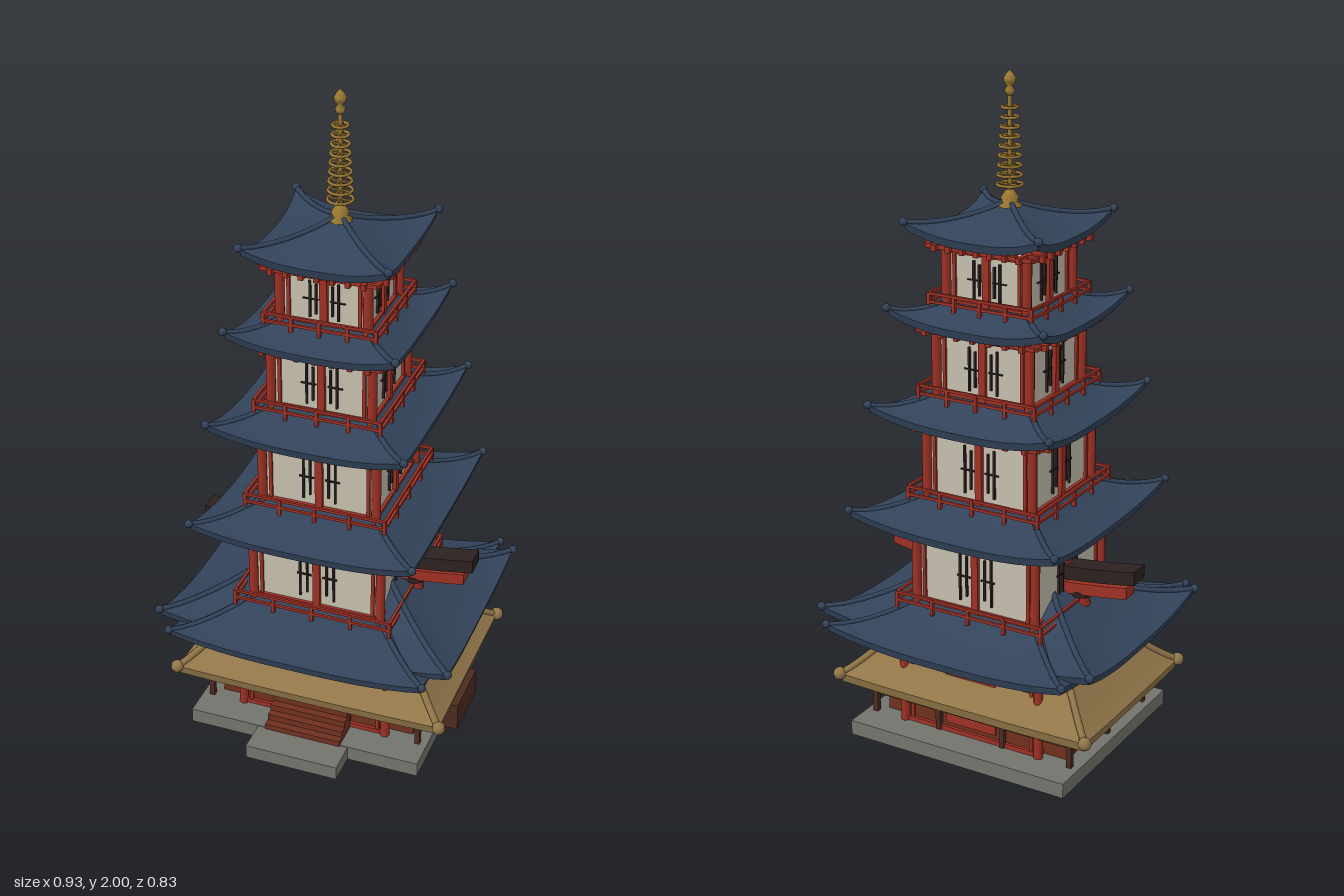
import * as THREE from 'three';

const mat = (name, color, side = THREE.FrontSide) => {
  const m = new THREE.MeshStandardMaterial({ color, side });
  m.name = name;
  return m;
};
const M = {
  tile: mat('slate blue tile', 0x32435a, THREE.DoubleSide),
  red: mat('vermilion wood', 0x9e3024),
  plaster: mat('plaster', 0xc6bfae),
  wood: mat('dark brown wood', 0x4c2b20),
  black: mat('black wood', 0x2c2120),
  stone: mat('stone', 0x74746d),
  gold: mat('gilded bronze', 0x9a7833),
  thatch: mat('thatch', 0x917649, THREE.DoubleSide),
  panel: mat('red brown panel', 0x70301f),
};

function add(parent, name, geo, material, x = 0, y = 0, z = 0) {
  const m = new THREE.Mesh(geo, material);
  m.name = name;
  m.position.set(x, y, z);
  parent.add(m);
  return m;
}
// Box given by its centre in x and z and its bottom and top in y
const box = (p, name, m, w, d, y0, y1, x = 0, z = 0) =>
  add(p, name, new THREE.BoxGeometry(w, y1 - y0, d), m, x, (y0 + y1) / 2, z);
const post = (p, name, m, r, y0, y1, x, z) =>
  add(p, name, new THREE.CylinderGeometry(r, r, y1 - y0, 10), m, x, (y0 + y1) / 2, z);

// Point on one side of a rectangular ring; u runs -1..1 from corner to corner
function ringPoint(r, side, u) {
  const b = r.bow * (1 - u * u);
  const [x, z] = [
    [u * r.hx, r.hz - b], [r.hx - b, -u * r.hz],
    [-u * r.hx, -r.hz + b], [-r.hx + b, u * r.hz],
  ][side];
  return new THREE.Vector3(x, r.y + r.lift * Math.pow(Math.abs(u), 2.6), z);
}

// Four-sided skin through a list of rings
function skin(rings) {
  const n = 16, pos = [], idx = [];
  for (let s = 0; s < 4; s++) {
    const base = pos.length / 3;
    rings.forEach((r) => {
      for (let i = 0; i <= n; i++) pos.push(...ringPoint(r, s, (i / n) * 2 - 1).toArray());
    });
    for (let j = 0; j < rings.length - 1; j++) {
      for (let i = 0; i < n; i++) {
        const a = base + j * (n + 1) + i, c = a + n + 1;
        idx.push(a, a + 1, c + 1, a, c + 1, c);
      }
    }
  }
  const g = new THREE.BufferGeometry();
  g.setAttribute('position', new THREE.Float32BufferAttribute(pos, 3));
  g.setIndex(idx);
  g.computeVertexNormals();
  return g;
}

// Swept hip roof with fascia, soffit, hip ridges and corner knobs
function hipRoof(parent, name, o) {
  const g = new THREE.Group();
  g.name = name;
  parent.add(g);
  const rows = [], N = 8, ye = o.y + o.thick;
  for (let i = 0; i <= N; i++) {
    const t = i / N, k = (1 - t) * (1 - t);
    rows.push({
      hx: o.hx + (o.tx - o.hx) * t, hz: o.hz + (o.tz - o.hz) * t,
      y: ye + (o.top - ye) * Math.pow(t, o.power), lift: o.lift * k, bow: o.bow * k,
    });
  }
  const lower = { ...rows[0], hx: o.hx - 0.006, hz: o.hz - 0.006, y: o.y };
  const inner = { hx: o.ix, hz: o.iz, y: o.y + 0.012, lift: 0, bow: 0 };
  add(g, 'roofSurface', skin(rows), o.mat);
  add(g, 'eaveEdge', skin([lower, rows[0]]), o.mat);
  add(g, 'soffit', skin([inner, lower]), o.mat);
  for (let s = 0; s < 4; s++) {
    const pts = rows.map((r) => ringPoint(r, s, 1));
    add(g, 'hipRidge', new THREE.TubeGeometry(new THREE.CatmullRomCurve3(pts), 16, o.ridge, 6), o.mat);
    add(g, 'cornerKnob', new THREE.SphereGeometry(o.knob, 10, 8), o.mat, ...pts[0].toArray());
  }
}

// One tower storey, with four equal sides
function storey(parent, i, c, y0, y1, rail) {
  const g = new THREE.Group();
  g.name = 'storey' + i;
  parent.add(g);
  const w = c - 0.012, h = y1 - y0, first = i === 1;
  box(g, 'walls', first ? M.panel : M.plaster, 2 * w, 2 * w, y0, y1);
  for (let k = 0; k < 4; k++) {
    const s = new THREE.Group();
    s.name = 'storeySide';
    s.rotation.y = (k * Math.PI) / 2;
    g.add(s);
    post(s, 'cornerColumn', M.red, 0.014, y0 - 0.01, y1 + 0.01, c - 0.005, c - 0.005);
    for (const x of [-c + 0.03, c - 0.03]) box(s, 'sidePost', M.red, 0.01, 0.014, y0, y1, x, w);
    box(s, 'topBeam', M.red, 2 * c, 0.016, y1 - 0.012, y1 + 0.002, 0, w + 0.002);
    box(s, 'bottomBeam', M.red, 2 * c, 0.016, y0, y0 + 0.014, 0, w + 0.002);
    // Rafters under the eaves
    for (let r = -3; r <= 3; r++) {
      box(s, 'rafter', M.red, 0.014, 0.07, y1 + 0.002, y1 + 0.02, (r * c) / 3, c + 0.02);
    }
    box(s, 'rafterBeam', M.red, 2 * c + 0.07, 0.012, y1 + 0.006, y1 + 0.018, 0, c + 0.035);
    if (first) {
      box(s, 'doorPanel', M.red, 0.17, 0.008, y0 + 0.03, y1 - 0.03, 0, w + 0.004);
      continue;
    }
    box(s, 'middleColumn', M.red, 0.022, 0.02, y0, y1, 0, w + 0.002);
    // Window lattices
    for (const m of [-1, 1]) {
      [[0.03, 0.22, 0.78], [0.052, 0.15, 0.84]].forEach(([x, a, b]) =>
        box(s, 'windowBar', M.black, 0.006, 0.008, y0 + a * h, y0 + b * h, m * x * (0.4 + c * 3), w + 0.003));
      box(s, 'windowCrossbar', M.black, 0.045, 0.006, y0 + 0.48 * h, y0 + 0.5 * h, m * 0.04, w + 0.002);
    }
    // Balcony railing
    for (const y of [0.006, 0.03]) box(s, 'rail', M.red, 2 * rail, 0.008, y0 + y, y0 + y + 0.008, 0, rail);
    for (let r = -2; r < 2; r++) box(s, 'railPost', M.red, 0.01, 0.01, y0 - 0.015, y0 + 0.036, (r * rail) / 2, rail);
  }
}

export function createModel() {
  const root = new THREE.Group();
  root.name = 'pagoda';
  const g = new THREE.Group();
  g.name = 'tower';
  g.position.z = -0.008;
  root.add(g);

  // Stone base, front landing and steps
  box(g, 'stoneBase', M.stone, 0.73, 0.65, 0.002, 0.048);
  box(g, 'frontLanding', M.stone, 0.29, 0.12, 0.002, 0.046, 0, 0.363);
  for (let i = 0; i < 4; i++) {
    box(g, 'step', M.panel, 0.24, 0.024, 0.046, 0.064 + i * 0.02, 0, 0.318 - i * 0.023);
  }

  // Low wooden hall around the first storey
  box(g, 'hallWall', M.panel, 0.62, 0.4, 0.045, 0.17);
  box(g, 'hallDeck', M.wood, 0.69, 0.48, 0.112, 0.126);
  for (const x of [-0.335, -0.11, 0.11, 0.335]) {
    for (const z of [-0.23, 0.23]) box(g, 'hallPost', M.wood, 0.016, 0.016, 0.045, 0.165, x, z);
  }
  for (const x of [-0.335, 0.335]) box(g, 'hallPost', M.wood, 0.016, 0.016, 0.045, 0.165, x, 0);
  box(g, 'offeringBox', M.wood, 0.07, 0.19, 0.018, 0.108, 0.383, 0.002);

  // Thatched skirt roof
  hipRoof(g, 'thatchedRoof', {
    hx: 0.42, hz: 0.3, tx: 0.25, tz: 0.13, y: 0.148, top: 0.35, thick: 0.028, lift: 0.006,
    bow: 0.002, power: 1.15, ix: 0.3, iz: 0.19, ridge: 0.011, knob: 0.02, mat: M.thatch,
  });

  // Storeys: column half width, floor, wall top, railing half width
  [[0.235, 0.048, 0.318, 0], [0.205, 0.44, 0.668, 0.243], [0.18, 0.772, 0.985, 0.215],
    [0.157, 1.08, 1.27, 0.19], [0.135, 1.35, 1.512, 0.166]]
    .forEach(([c, a, b, r], i) => storey(g, i + 1, c, a, b, r));

  // Tiled tower roofs: half width, eave bottom, top, top half width
  [[0.395, 0.332, 0.45, 0.19], [0.34, 0.688, 0.785, 0.165], [0.295, 1.005, 1.09, 0.145],
    [0.252, 1.288, 1.362, 0.122], [0.215, 1.532, 1.63, 0.012]]
    .forEach(([h, y, top, t], i) => hipRoof(g, 'tiledRoof' + (i + 1), {
      hx: h, hz: h, tx: t, tz: t, y, top, thick: 0.024, lift: 0.038, bow: 0.012, power: 1.4,
      ix: h * 0.5, iz: h * 0.5, ridge: 0.008, knob: 0.012, mat: M.tile,
    }));

  // Wide hall roof crossing the first tower roof
  hipRoof(g, 'wideRoof', {
    hx: 0.452, hz: 0.336, tx: 0.118, tz: 0.002, y: 0.348, top: 0.55, thick: 0.024, lift: 0.042,
    bow: 0.008, power: 1.4, ix: 0.24, iz: 0.2, ridge: 0.009, knob: 0.013, mat: M.tile,
  });

  // Gateway beams and leaning posts passing through the tower
  const beam = (name, m, half, y, tall, deep, rise) => {
    const geo = new THREE.BoxGeometry(half * 2, tall, deep, 24, 1, 1), p = geo.attributes.position;
    for (let i = 0; i < p.count; i++) p.setY(i, p.getY(i) + rise * (p.getX(i) / half) ** 2);
    geo.computeVertexNormals();
    add(g, name, geo, m, 0, y, 0.004);
  };
  beam('gatewayTopBeam', M.black, 0.428, 0.545, 0.042, 0.066, 0.04);
  beam('gatewaySecondBeam', M.red, 0.4, 0.495, 0.036, 0.052, 0.034);
  for (const s of [-1, 1]) {
    const leg = add(g, 'gatewayPost', new THREE.CylinderGeometry(0.023, 0.023, 0.5, 12), M.red, s * 0.255, 0.252, 0.004);
    leg.rotation.z = s * 0.05;
    add(g, 'gatewayCollar', new THREE.CylinderGeometry(0.03, 0.03, 0.016, 12), M.black, s * 0.243, 0.488, 0.004);
  }

  // Folded paper streamers on the front
  for (const x of [-0.19, -0.06, 0.06, 0.2]) {
    for (let i = 0; i < 3; i++) {
      box(g, 'paperStreamer', M.plaster, 0.018, 0.005, 0.252 + i * 0.017, 0.271 + i * 0.017, x + (i % 2 ? 0.006 : -0.006), 0.252);
    }
  }

  // Gilded finial
  const spire = new THREE.Group();
  spire.name = 'finial';
  g.add(spire);
  const lathe = (name, pts) =>
    add(spire, name, new THREE.LatheGeometry(pts.map(([r, y]) => new THREE.Vector2(r, y)), 12), M.gold);
  lathe('finialBase', [[0.034, 1.6], [0.034, 1.625], [0.022, 1.632], [0.026, 1.645], [0.012, 1.665], [0, 1.668]]);
  post(spire, 'mast', M.gold, 0.006, 1.64, 1.95, 0, 0);
  for (let i = 0; i < 9; i++) {
    const r = 0.036 - i * 0.0018, ring = new THREE.TorusGeometry(r, 0.0045, 6, 16);
    const y = 1.682 + i * 0.027;
    add(spire, 'ring', ring, M.gold, 0, y, 0).rotation.x = Math.PI / 2;
    for (const q of [0, 1]) box(spire, 'ringSpoke', M.gold, q ? 0.005 : 2 * r, q ? 2 * r : 0.005, y - 0.0025, y + 0.0025);
  }
  lathe('jewel', [[0, 1.925], [0.012, 1.934], [0.015, 1.945], [0.007, 1.956], [0.016, 1.966], [0.018, 1.977], [0.01, 1.99], [0, 2]]);
  return root;
}
